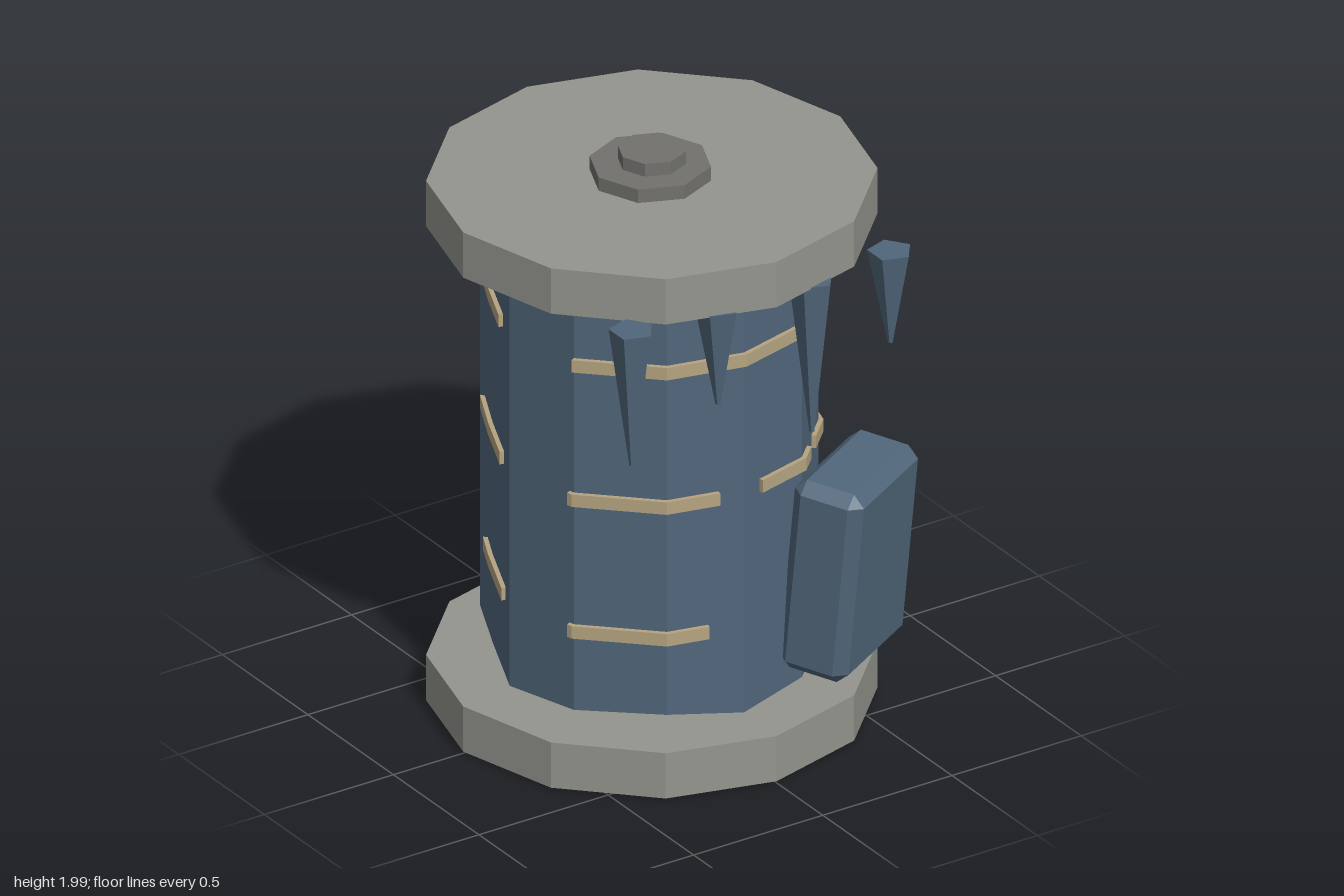
import * as THREE from 'three';
import { ConvexGeometry } from 'three/addons/geometries/ConvexGeometry.js';

const material = (name, color, extra = {}) => {
  const m = new THREE.MeshStandardMaterial({ color, flatShading: true, ...extra });
  m.name = name;
  return m;
};

// Barrel corners, one every 30 degrees from the front towards +x: x, z, bottom y, top y
const CORNERS = [
  [0, 0.54, 0.18, 1.69], [0.27, 0.47, 0.20, 1.69], [0.46, 0.28, 0.19, 1.68],
  [0.54, 0, 0.21, 1.72], [0.47, -0.27, 0.19, 1.67], [0.29, -0.44, 0.19, 1.66],
  [0.06, -0.50, 0.19, 1.69], [-0.30, -0.55, 0.18, 1.71], [-0.43, -0.28, 0.20, 1.68],
  [-0.55, 0, 0.20, 1.72], [-0.48, 0.27, 0.21, 1.66], [-0.26, 0.48, 0.22, 1.68],
];

// Point on the barrel outline at a bearing in degrees
function outline(deg, scale) {
  const t = (deg + 360) / 30;
  const a = CORNERS[Math.floor(t) % 12];
  const b = CORNERS[(Math.floor(t) + 1) % 12];
  const f = t - Math.floor(t);
  return new THREE.Vector2((a[0] + (b[0] - a[0]) * f) * scale, -(a[1] + (b[1] - a[1]) * f) * scale);
}

function barrelGeometry() {
  const geo = new THREE.CylinderGeometry(0.55, 0.55, 1.5, 12).toNonIndexed();
  const p = geo.attributes.position;
  for (let i = 0; i < p.count; i++) {
    const x = p.getX(i), z = p.getZ(i), top = p.getY(i) > 0;
    if (Math.hypot(x, z) < 0.1) {
      p.setXYZ(i, 0, top ? 1.69 : 0.2, 0);
      continue;
    }
    const k = (Math.round(Math.atan2(x, z) / (Math.PI / 6)) + 12) % 12;
    const c = CORNERS[k];
    p.setXYZ(i, c[0], top ? c[3] : c[2], c[1]);
  }
  geo.computeVertexNormals();
  return geo;
}

// Strip wrapped around part of the barrel
function bandGeometry(from, to, y, height) {
  const degs = [from];
  for (let d = Math.floor(from / 30) * 30 + 30; d < to; d += 30) degs.push(d);
  degs.push(to);
  const points = [
    ...degs.map((d) => outline(d, 1.03)),
    ...degs.reverse().map((d) => outline(d, 0.97)),
  ];
  const geo = new THREE.ExtrudeGeometry(new THREE.Shape(points), { depth: height, bevelEnabled: false });
  geo.rotateX(-Math.PI / 2);
  geo.translate(0, y - height / 2, 0);
  return geo;
}

// Box with every edge and corner cut off
function chamferedBox(w, h, d, c) {
  const points = [];
  for (const sx of [-1, 1]) for (const sy of [-1, 1]) for (const sz of [-1, 1]) {
    for (const [a, b, e] of [[0, c, c], [c, 0, c], [c, c, 0]]) {
      points.push(new THREE.Vector3(sx * (w / 2 - a), sy * (h / 2 - b), sz * (d / 2 - e)));
    }
  }
  return new ConvexGeometry(points);
}

export function createModel() {
  const group = new THREE.Group();
  const stone = material('pale stone', 0x95958e);
  const iron = material('dark iron', 0x72716e);
  const blue = material('slate blue', 0x50667a);
  const tan = material('tan strap', 0xb5a480);

  const add = (name, geometry, mat, x = 0, y = 0, z = 0) => {
    const mesh = new THREE.Mesh(geometry, mat);
    mesh.name = name;
    mesh.position.set(x, y, z);
    group.add(mesh);
    return mesh;
  };

  // End discs
  add('bottomDisc', new THREE.CylinderGeometry(0.73, 0.73, 0.165, 12), stone, 0, 0.0945, 0);
  add('topDisc', new THREE.CylinderGeometry(0.73, 0.73, 0.165, 12), stone, 0, 1.8225, 0);

  // Axle, leaning very slightly, with its cap
  add('axle', new THREE.CylinderGeometry(0.2, 0.2, 1.947, 8), iron, 0, 0.981, 0).rotation.z = 0.03 / 5;
  add('axleCap', new THREE.CylinderGeometry(0.112, 0.112, 0.1, 8), iron, 0, 1.95, 0);

  // Uneven barrel
  add('barrel', barrelGeometry(), blue);

  // Broken straps: height, then start and end bearings
  const straps = [
    [1.47, [[-60, 79], [104, 168], [213, 258]]],
    [0.98, [[-62, -10], [8, 39], [47, 98], [105, 166], [221, 260]]],
    [0.5, [[-62, -14], [68, 166], [228, 263]]],
  ];
  for (const [y, spans] of straps) {
    for (const [from, to] of spans) add('strap', bandGeometry(from, to, y, 0.045), tan);
  }

  // Slab leaning on the front
  const slab = add('slab', chamferedBox(0.47, 0.7, 0.25, 0.04), blue, 0.435, 0.605, 0.495);
  slab.rotation.order = 'YXZ';
  slab.rotation.set(0.09, Math.PI / 6, 0);

  // Spikes hanging from the top disc: x, z, tip height
  for (const [x, z, tip] of [[-0.48, 0.61, 1.25], [-0.16, 0.63, 1.39], [0.2, 0.635, 1.19], [0.52, 0.61, 1.41]]) {
    const h = 1.745 - tip;
    const geo = new THREE.CylinderGeometry(0.076, 0.009, h, 5);
    geo.rotateY(Math.PI / 2);
    add('spike', geo, blue, x, tip + h / 2, z);
  }

  return group;
}
